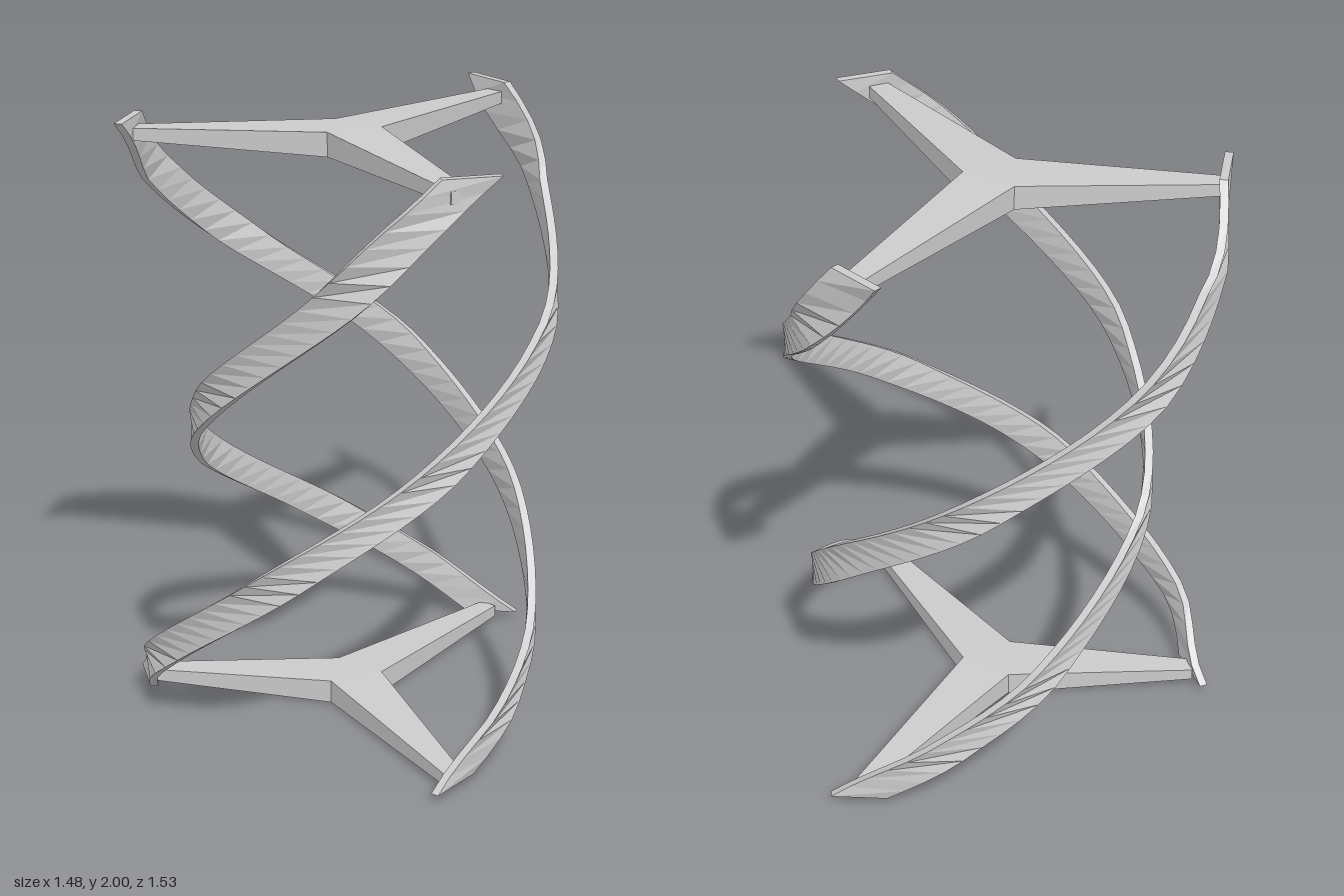
import * as THREE from 'three';
import { ConvexGeometry } from 'three/addons/geometries/ConvexGeometry.js';

const material = new THREE.MeshStandardMaterial({ color: 0xcccccc, flatShading: true });

// Ribbon: a level rectangle swept up a curve, turned to follow its heading
function ribbonGeometry(points, length = 0.185, thickness = 0.027, steps = 44) {
  const curve = new THREE.CatmullRomCurve3(points.map(p => new THREE.Vector3(...p)), false, 'centripetal');
  const pos = [], idx = [];
  for (let i = 0; i <= steps; i++) {
    const p = curve.getPointAt(i / steps);
    const t = curve.getTangentAt(i / steps).setY(0).normalize();
    for (const [a, b] of [[1, 1], [-1, 1], [-1, -1], [1, -1]]) {
      const u = a * length / 2, v = b * thickness / 2;
      pos.push(p.x + t.x * u + t.z * v, p.y, p.z + t.z * u - t.x * v);
    }
    if (i === steps) continue;
    for (let j = 0; j < 4; j++) {
      const a = i * 4 + j, b = i * 4 + (j + 1) % 4;
      idx.push(a, b, b + 4, a, b + 4, a + 4);
    }
  }
  const e = steps * 4;
  idx.push(0, 2, 1, 0, 3, 2, e, e + 1, e + 2, e, e + 2, e + 3);
  const g = new THREE.BufferGeometry();
  g.setAttribute('position', new THREE.Float32BufferAttribute(pos, 3));
  g.setIndex(idx);
  g.computeVertexNormals();
  return g;
}

// Three-armed support, tapering in width and height towards the tips
function createSupport(name, y) {
  const group = new THREE.Group();
  group.name = name;
  const hub = [-0.065, -0.07];
  const corners = [[0.025, -0.01], [-0.055, -0.175], [-0.16, -0.025]];
  const tips = [[0.65, -0.365], [-0.635, -0.455], [-0.09, 0.705]];
  tips.forEach((tip, i) => {
    const dx = tip[0] - hub[0], dz = tip[1] - hub[1], l = Math.hypot(dx, dz);
    const nx = -dz / l * 0.03, nz = dx / l * 0.03;
    const pts = [];
    for (const s of [-1, 1]) {
      for (const [x, z] of [hub, corners[i], corners[(i + 1) % 3]]) pts.push(new THREE.Vector3(x, s * 0.04, z));
      for (const k of [-1, 1]) pts.push(new THREE.Vector3(tip[0] + k * nx, s * 0.02, tip[1] + k * nz));
    }
    const arm = new THREE.Mesh(new ConvexGeometry(pts), material);
    arm.name = 'supportArm' + (i + 1);
    group.add(arm);
  });
  group.position.y = y;
  return group;
}

export function createModel() {
  const model = new THREE.Group();
  model.name = 'tripleHelixStand';

  model.add(createSupport('bottomSupport', 0.04), createSupport('topSupport', 1.945));

  // Ribbons, each joining one lower arm tip to another upper arm tip
  const ribbons = {
    frontRibbon: [[-0.1, 0.03, 0.715], [0.16, 0.2, 0.6], [0.385, 0.38, 0.365], [0.505, 0.72, -0.05],
      [0.33, 1.1, -0.52], [-0.15, 1.47, -0.745], [-0.47, 1.75, -0.645], [-0.66, 2, -0.44]],
    leftRibbon: [[0.665, 0.03, -0.375], [0.43, 0.23, -0.545], [0.1, 0.46, -0.625], [-0.41, 0.83, -0.43],
      [-0.62, 1.2, 0.07], [-0.41, 1.62, 0.545], [-0.24, 1.83, 0.655], [-0.05, 2, 0.7]],
    rightRibbon: [[-0.645, 0.03, -0.45], [-0.705, 0.23, -0.2], [-0.5, 0.62, 0.28], [-0.02, 0.99, 0.485],
      [0.46, 1.35, 0.3], [0.685, 1.73, -0.18], [0.64, 2, -0.405]],
  };
  for (const [name, points] of Object.entries(ribbons)) {
    const mesh = new THREE.Mesh(ribbonGeometry(points), material);
    mesh.name = name;
    model.add(mesh);
  }
  return model;
}
